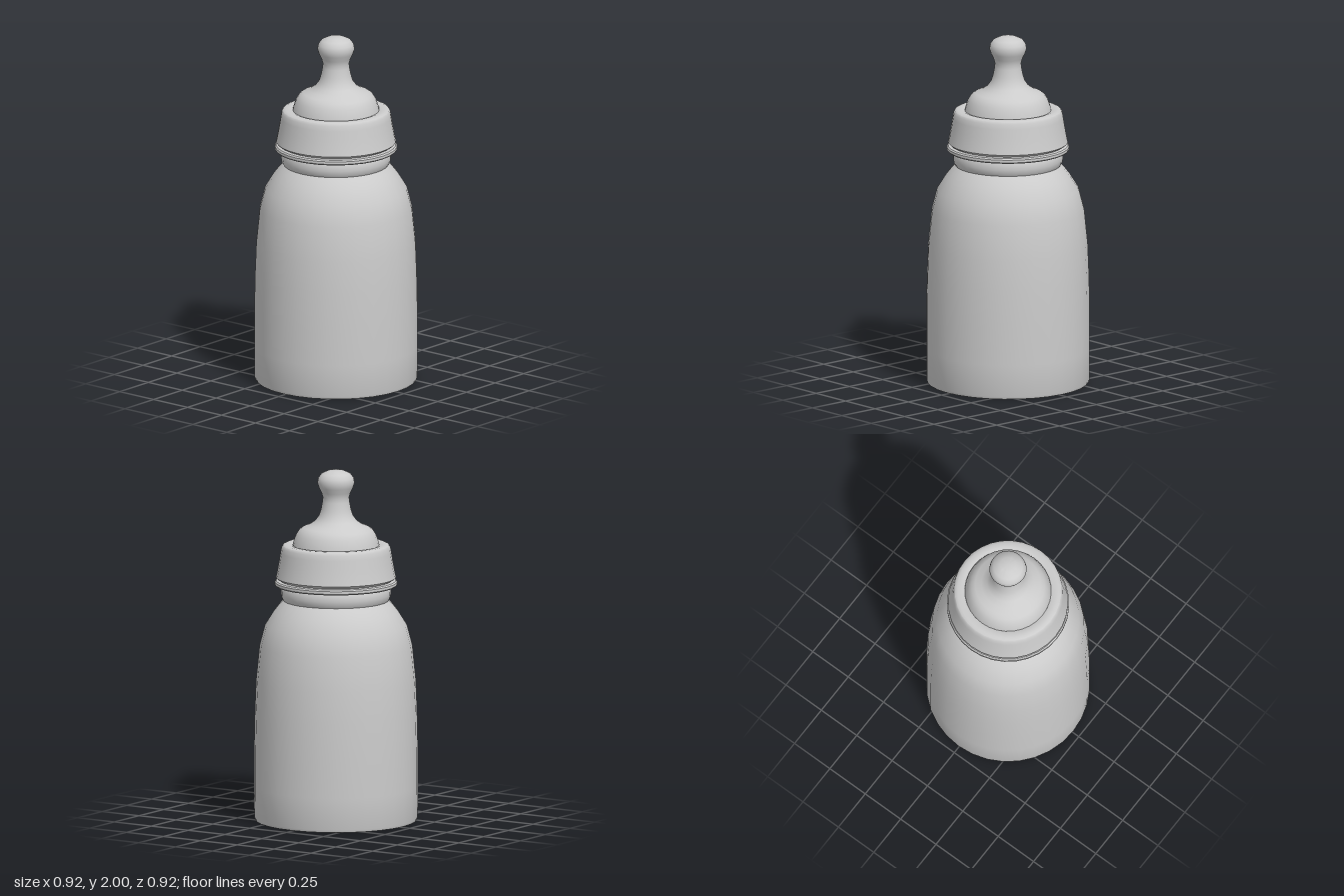
import * as THREE from 'three';
import { toCreasedNormals } from 'three/addons/utils/BufferGeometryUtils.js';

const material = new THREE.MeshStandardMaterial({ color: 0xcccccc, side: THREE.DoubleSide });

// Turned part from [radius, height] pairs, listed from bottom to top
function turned(name, profile, sides = 32, crease = 0.7) {
  const points = profile.map(([r, y]) => new THREE.Vector2(r, y));
  const geometry = toCreasedNormals(new THREE.LatheGeometry(points, sides), crease);
  const mesh = new THREE.Mesh(geometry, material);
  mesh.name = name;
  return mesh;
}

export function createModel() {
  const group = new THREE.Group();
  group.name = 'babyBottle';

  // Bottle with a flat base, rounded shoulder and beaded neck
  group.add(turned('bottle', [
    [0, 0], [0.43, 0], [0.455, 0.005], [0.46, 0.02], [0.461, 0.2], [0.461, 0.42],
    [0.457, 0.62], [0.45, 0.8], [0.43, 1.0], [0.4, 1.115], [0.35, 1.195],
    [0.32, 1.233], [0.297, 1.257],
  ]));
  group.add(turned('neck', [
    [0.297, 1.257], [0.306, 1.272], [0.31, 1.295], [0.308, 1.32], [0.3, 1.34], [0.28, 1.36],
  ]));

  // Rolled lip under the collar
  group.add(turned('collarRing', [
    [0.29, 1.34], [0.338, 1.34], [0.345, 1.347], [0.345, 1.362], [0.338, 1.37], [0.318, 1.373],
  ]));

  // Flared screw collar with a rounded top edge around the teat
  group.add(turned('collar', [
    [0.318, 1.373], [0.33, 1.38], [0.338, 1.388], [0.333, 1.41], [0.32, 1.48],
    [0.312, 1.53], [0.307, 1.558], [0.3, 1.571], [0.285, 1.577], [0.26, 1.577],
    [0.244, 1.572], [0.238, 1.56],
  ]));

  // Soft teat: domed base, slim stem and round tip
  const outline = [
    [0.246, 1.56], [0.24, 1.59], [0.226, 1.63], [0.207, 1.66], [0.185, 1.674],
    [0.15, 1.688], [0.118, 1.71], [0.096, 1.74], [0.085, 1.775], [0.076, 1.82],
    [0.074, 1.845], [0.082, 1.872], [0.096, 1.9], [0.105, 1.928], [0.1, 1.955],
    [0.082, 1.979], [0.045, 1.996], [0, 2.0],
  ];
  group.add(turned('teat', outline, 32, 1.0));

  return group;
}
